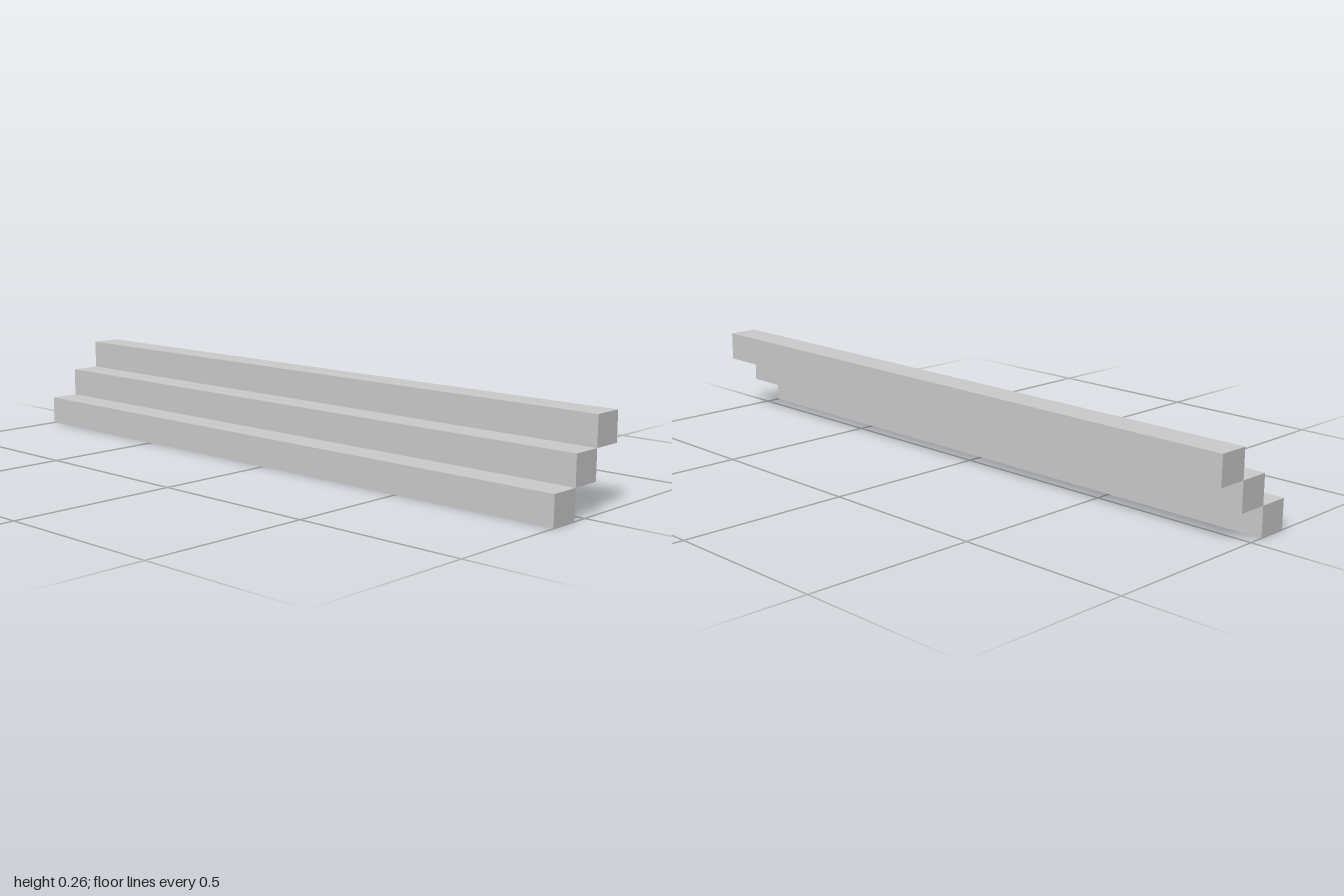
import * as THREE from 'three';

const STEPS = 3;
const WIDTH = 0.091;
const HEIGHT = 0.086;
const LENGTH = 2;

export function createModel() {
  const model = new THREE.Group();
  model.name = 'stairs';
  const material = new THREE.MeshStandardMaterial({ color: 0xcccccc });
  const geometry = new THREE.BoxGeometry(WIDTH, HEIGHT, LENGTH);

  // Long square bars climbing towards +x, each touching the next along one edge
  for (let i = 0; i < STEPS; i++) {
    const step = new THREE.Mesh(geometry, material);
    step.name = `step${i + 1}`;
    step.position.set((i - (STEPS - 1) / 2) * WIDTH, (i + 0.5) * HEIGHT, 0);
    model.add(step);
  }
  return model;
}
